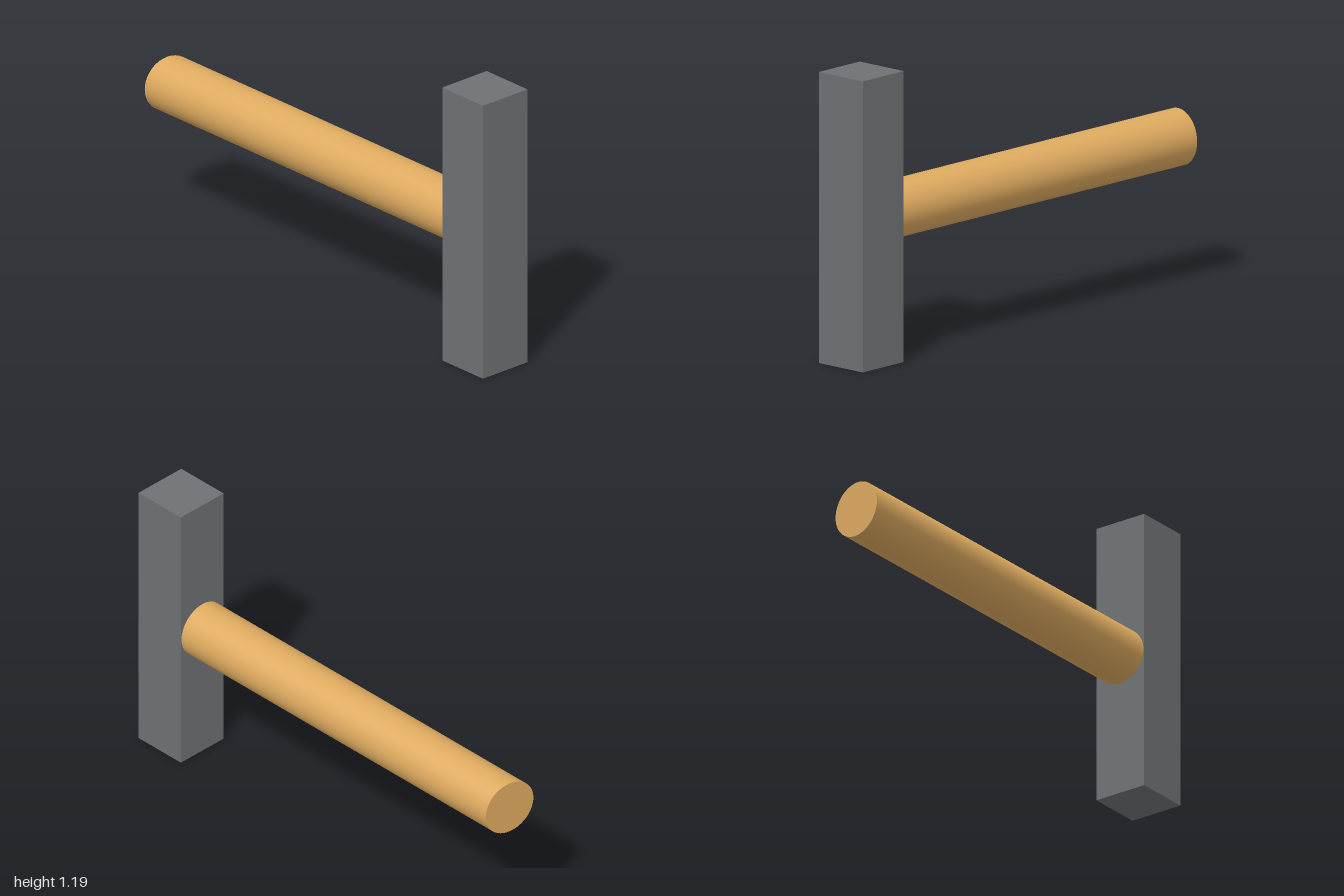
import * as THREE from 'three';

const headSize = { width: 0.24, height: 1.19, depth: 0.238 };
const gripRadius = 0.116;

export function createModel() {
  const wood = new THREE.MeshStandardMaterial({ color: 0xdeaa5f });
  wood.name = 'wood';
  const steel = new THREE.MeshStandardMaterial({ color: 0x6e7174 });
  steel.name = 'steel';

  const model = new THREE.Group();
  model.name = 'hammer';

  // Upright square head
  const head = new THREE.Mesh(
    new THREE.BoxGeometry(headSize.width, headSize.height, headSize.depth), steel);
  head.name = 'head';
  head.position.set(1 - headSize.width / 2, headSize.height / 2, 0);
  model.add(head);

  // Round handle lying along x, butted into the head
  const start = -0.983, end = 0.765;
  const geometry = new THREE.CylinderGeometry(gripRadius, gripRadius, end - start, 48);
  geometry.rotateZ(-Math.PI / 2).translate((start + end) / 2, 0, 0);

  // Cut the free end at a slight slant: the front reaches further out
  const position = geometry.attributes.position;
  const normal = geometry.attributes.normal;
  const slope = 0.15;
  for (let i = 0; i < position.count; i++) {
    if (position.getX(i) > 0) continue;
    position.setX(i, position.getX(i) - slope * position.getZ(i));
    if (normal.getX(i) < -0.9) {
      const n = new THREE.Vector3(-1, 0, -slope).normalize();
      normal.setXYZ(i, n.x, n.y, n.z);
    }
  }

  const handle = new THREE.Mesh(geometry, wood);
  handle.name = 'handle';
  handle.position.y = headSize.height / 2;
  model.add(handle);

  return model;
}
